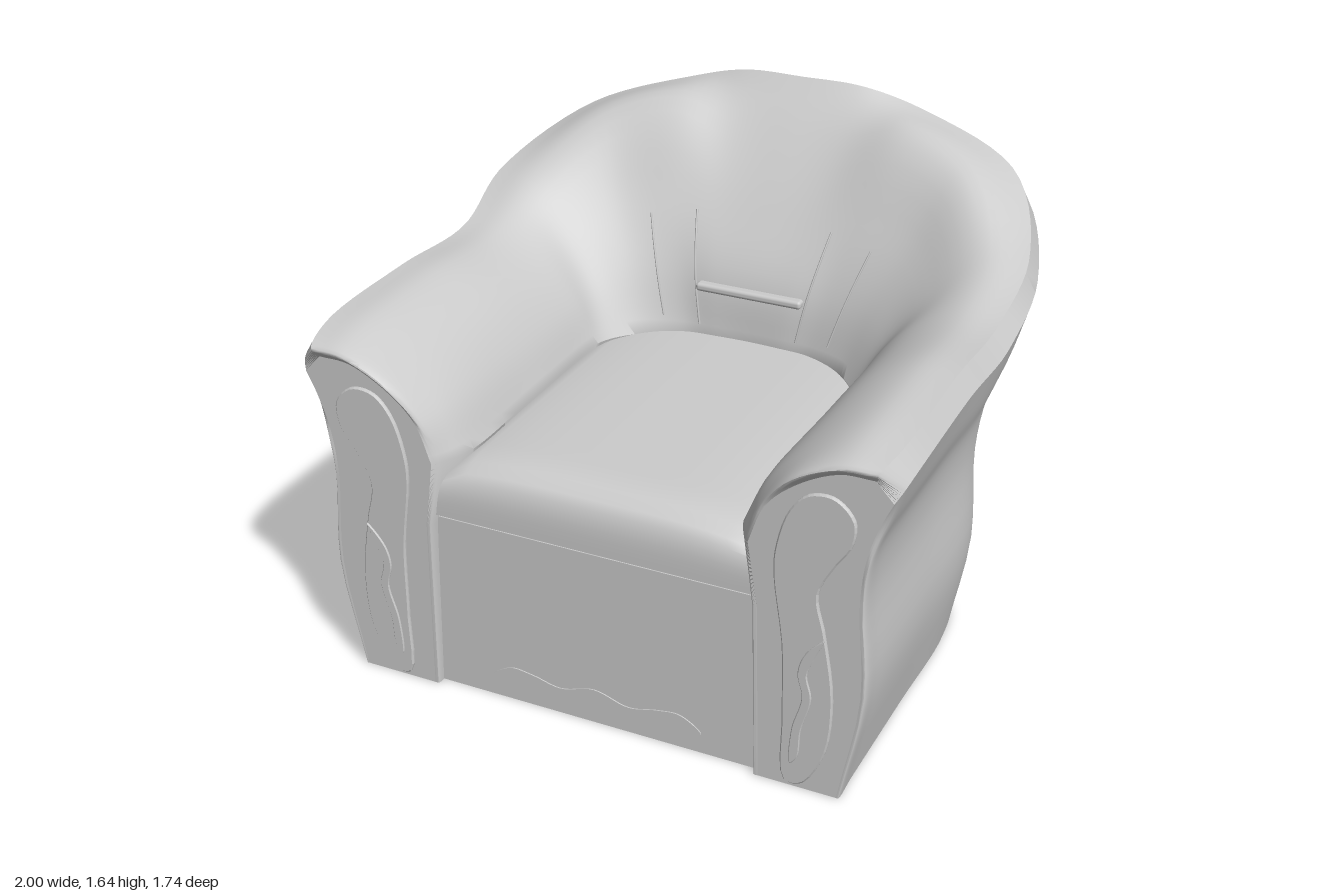
import * as THREE from 'three';
import { toCreasedNormals } from 'three/addons/utils/BufferGeometryUtils.js';
import { RoundedBoxGeometry } from 'three/addons/geometries/RoundedBoxGeometry.js';

const grey = new THREE.MeshStandardMaterial({ color: 0xcccccc });
const V = (x, y, z) => new THREE.Vector3(x, y, z);

// Arm cross-section (x, y): inner foot, outer foot, up the outside, over the roll, down to the seat
const ARM = [[0.68, 0], [0.835, 0], [0.905, 0.38], [0.893, 0.7], [0.912, 0.86], [0.955, 0.98], [0.998, 1.13],
  [0.955, 1.195], [0.82, 1.195], [0.66, 1.11], [0.54, 0.97], [0.47, 0.82], [0.53, 0.6]];
const ARM_END = [[0.56, 0], [0.835, 0], [0.905, 0.38], [0.89, 0.7], [0.908, 0.86], [0.95, 0.98], [0.985, 1.08],
  [0.925, 1.14], [0.81, 1.135], [0.67, 1.07], [0.57, 0.95], [0.515, 0.82], [0.55, 0.6]];
// Cross-sections around the back (x, y, z), in the same order
const SIDE_BACK = [[0.66, 0, -0.22], [0.795, 0, -0.29], [0.85, 0.35, -0.27], [0.845, 0.68, -0.275], [0.875, 0.9, -0.31],
  [0.94, 1.07, -0.36], [0.985, 1.23, -0.4], [0.96, 1.305, -0.37], [0.82, 1.3, -0.32], [0.67, 1.16, -0.25],
  [0.54, 0.99, -0.21], [0.45, 0.82, -0.17], [0.5, 0.6, -0.2]];
const CORNER = [[0.55, 0, -0.35], [0.635, 0, -0.455], [0.65, 0.3, -0.455], [0.655, 0.65, -0.47], [0.68, 0.95, -0.52],
  [0.745, 1.18, -0.645], [0.8, 1.38, -0.77], [0.78, 1.46, -0.73], [0.66, 1.48, -0.57], [0.55, 1.25, -0.42],
  [0.45, 1.04, -0.32], [0.37, 0.82, -0.26], [0.42, 0.6, -0.3]];
const BACK = [[0.3, 0, -0.41], [0.33, 0, -0.54], [0.34, 0.3, -0.545], [0.345, 0.65, -0.555], [0.36, 0.95, -0.585],
  [0.38, 1.22, -0.67], [0.44, 1.5, -0.865], [0.43, 1.575, -0.83], [0.41, 1.55, -0.665], [0.34, 1.27, -0.48],
  [0.28, 1.03, -0.37], [0.23, 0.82, -0.325], [0.25, 0.6, -0.38]];
const CENTRE = [[0, 0, -0.42], [0, 0, -0.55], [0, 0.3, -0.555], [0, 0.65, -0.565], [0, 0.95, -0.59],
  [0, 1.25, -0.67], [0, 1.54, -0.845], [0, 1.64, -0.8], [0, 1.49, -0.67], [0, 1.24, -0.49],
  [0, 1.03, -0.37], [0, 0.82, -0.34], [0, 0.6, -0.39]];
// Middle panel of the back stays nearly flat until its seam
const PANEL_EDGE = CENTRE.map(([, y, z], k) => [BACK[k][0] * 0.5, y * 0.9 + BACK[k][1] * 0.1, z * 0.7 + BACK[k][2] * 0.3]);

const at = (profile, z, dy = 0) => profile.map(([x, y]) => [x, y > 1 ? y + dy : y, z]);
const step = THREE.MathUtils.smoothstep;
// Front lip of the arm: bulges at the top, rounded off at both sides
const armEnd = ARM_END.map(([x, y]) => [x, y, 0.843 + 0.025 * step(y, 0.97, 1.07)
  - (y > 0.8 ? 0.05 * step(x, 0.91, 0.99) + 0.02 * step(-x, -0.57, -0.5) : 0)]);
// Flat arm face set just inside the lip
const armFace = ARM_END.map(([x, y]) => [x + (0.74 - x) * 0.07, y > 1 ? y - 0.03 : y, 0.843]);
const armNear = at(ARM, 0.73, -0.02);
armNear[0][0] = 0.57;

// Stations run from the left arm front, round the back, to the right arm front
const half = [armFace, armEnd, armNear, at(ARM, 0.3), at(ARM, -0.1, -0.005), SIDE_BACK, CORNER, BACK, PANEL_EDGE];
const mirrored = half.map(s => s.map(([x, y, z]) => [-x, y, z])).reverse();
const stations = [...half, CENTRE, ...mirrored];
const rails = ARM.map((_, k) => new THREE.CatmullRomCurve3(stations.map(s => V(...s[k]))));

// Section of the shell at t (0..1 along the stations): inside curve and closed ring
function sectionAt(t) {
  const pts = rails.map(r => r.getPoint(t));
  const outside = new THREE.CatmullRomCurve3(pts.slice(1, 7));
  const inside = new THREE.CatmullRomCurve3(pts.slice(7, 12));
  return { inside, ring: [...outside.getPoints(20), ...inside.getPoints(20), pts[12], pts[0]] };
}

function shellGeometry() {
  const N = 120, pos = [], idx = [];
  let M = 0;
  for (let i = 0; i <= N; i++) {
    const { ring } = sectionAt(i / N);
    M = ring.length;
    ring.forEach(p => pos.push(p.x, p.y, p.z));
  }
  for (let i = 0; i < N; i++) for (let j = 0; j < M; j++) {
    const a = i * M + j, c = i * M + (j + 1) % M, b = a + M, d = c + M;
    idx.push(a, b, c, c, b, d);
  }
  const g = new THREE.BufferGeometry();
  g.setAttribute('position', new THREE.Float32BufferAttribute(pos, 3));
  g.setIndex(idx);
  return toCreasedNormals(g, 0.7);
}

// Front face closing one arm
function armCap(side) {
  const { ring } = sectionAt(side > 0 ? 0 : 1);
  return new THREE.ShapeGeometry(new THREE.Shape(ring.map(p => new THREE.Vector2(p.x, p.y))));
}

// Flat plate with a smooth outline
function plate(outline, side, depth, bevel) {
  const curve = new THREE.CatmullRomCurve3(outline.map(([x, y]) => V(x * side, y, 0)), true);
  const shape = new THREE.Shape(curve.getPoints(70).slice(0, -1).map(p => new THREE.Vector2(p.x, p.y)));
  return new THREE.ExtrudeGeometry(shape, { depth, bevelEnabled: bevel > 0, bevelSize: bevel,
    bevelThickness: bevel, bevelOffset: -bevel, bevelSegments: 1 });
}

// Seat cushion: domed top, rolled front edge, narrower on top
function cushionGeometry() {
  const g = new THREE.BoxGeometry(1.1, 0.17, 1.19, 16, 6, 20);
  const p = g.attributes.position;
  for (let i = 0; i < p.count; i++) {
    const x = p.getX(i), y = p.getY(i), z = p.getZ(i);
    const up = y / 0.17 + 0.5;
    const front = Math.max(0, (z - 0.4) / 0.195);
    const dome = 0.03 * (1 - (x / 0.55) ** 4) - 0.03 * front ** 3;
    p.setXYZ(i, x * (1 - 0.08 * up ** 3), y + up * dome, z - 0.03 * front * up ** 4);
  }
  return toCreasedNormals(g, 0.9);
}

const ARM_PANEL = [[0.66, 0.02], [0.715, 0.02], [0.79, 0.15], [0.81, 0.35], [0.78, 0.57], [0.755, 0.7], [0.8, 0.8],
  [0.855, 0.89], [0.86, 0.97], [0.8, 1.03], [0.72, 1.025], [0.66, 0.96], [0.62, 0.83], [0.615, 0.74], [0.645, 0.5], [0.65, 0.25]];
const ARM_INSERT = [[0.78, 0.555], [0.72, 0.49], [0.7, 0.42], [0.715, 0.34], [0.685, 0.22], [0.68, 0.09],
  [0.705, 0.12], [0.715, 0.22], [0.745, 0.34], [0.73, 0.42], [0.75, 0.48]];
const MOTIF = [[-0.37, 0.07], [-0.3, 0.12], [-0.22, 0.115], [-0.12, 0.095], [0, 0.125], [0.12, 0.095],
  [0.22, 0.115], [0.3, 0.12], [0.37, 0.07], [0, 0.07]];

export function createModel() {
  const group = new THREE.Group();
  const add = (name, geometry, x = 0, y = 0, z = 0) => {
    const mesh = new THREE.Mesh(geometry, grey);
    mesh.name = name;
    mesh.position.set(x, y, z);
    group.add(mesh);
  };

  add('backAndArms', shellGeometry());
  add('seatCushion', cushionGeometry(), 0, 0.715, 0.23);

  // Base front, with a narrow shadow gap below the cushion
  add('frontPanel', new THREE.BoxGeometry(1.14, 0.62, 0.05), 0, 0.31, 0.79);
  add('frontPanelMotif', plate(MOTIF, 1, 0.058, 0), 0, 0, 0.761);

  // Lumbar ledge in the backrest
  add('lumbarLedge', new RoundedBoxGeometry(0.39, 0.03, 0.05, 2, 0.012), 0, 1.0, -0.362);

  for (const side of [1, -1]) {
    add('armFront', armCap(side), 0, 0, 0.843);
    add('armPanel', plate(ARM_PANEL, side, 0.01, 0.005), 0, 0, 0.838);
    add('armPanelInsert', plate(ARM_INSERT, side, 0.01, 0.003), 0, 0, 0.845);

    // Stitched seams down the backrest
    for (const [station, from, to] of [[7.5, 0.53, 0.95], [6.6, 0.57, 0.93]]) {
      const t = station / (stations.length - 1);
      const { inside } = sectionAt(side > 0 ? t : 1 - t);
      const pts = Array.from({ length: 8 }, (_, i) => inside.getPoint(from + (to - from) * i / 7));
      add('backSeam', new THREE.TubeGeometry(new THREE.CatmullRomCurve3(pts), 14, 0.004, 5));
    }
  }
  return group;
}
